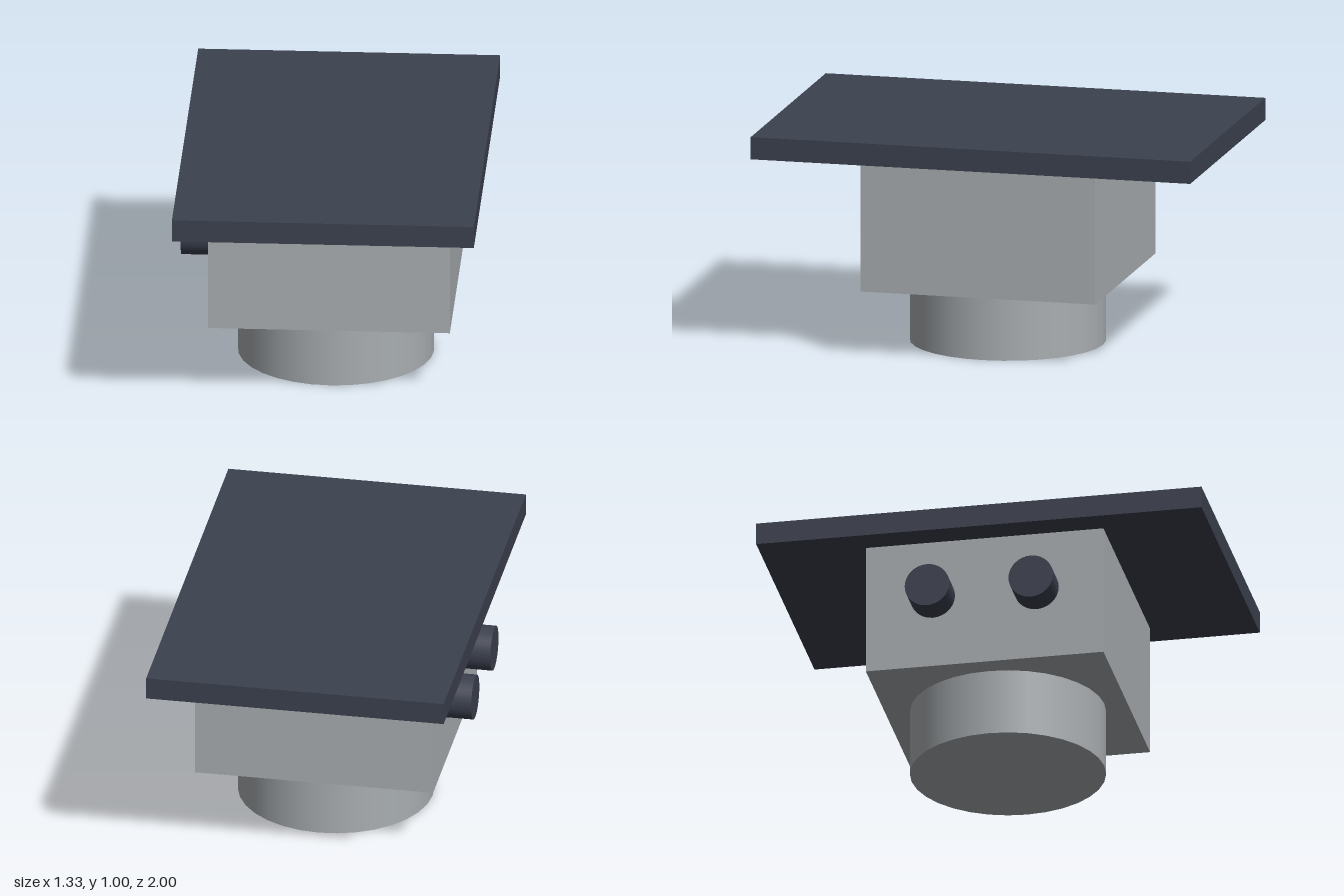
import * as THREE from 'three';

export function createModel() {
  const model = new THREE.Group();
  const paleGrey = new THREE.MeshStandardMaterial({ color: 0xa9aeb1 });
  paleGrey.name = 'paleGrey';
  const darkSlate = new THREE.MeshStandardMaterial({ color: 0x3c414f });
  darkSlate.name = 'darkSlate';

  const add = (name, geometry, material, x, y, z) => {
    const mesh = new THREE.Mesh(geometry, material);
    mesh.name = name;
    mesh.position.set(x, y, z);
    model.add(mesh);
    return mesh;
  };

  // Round foot, square housing and overhanging top plate
  add('roundBase', new THREE.CylinderGeometry(0.433, 0.433, 0.302, 32), paleGrey, 0, 0.151, 0);
  add('housing', new THREE.BoxGeometry(1.067, 0.6, 1.067), paleGrey, 0, 0.602, 0);
  add('topPlate', new THREE.BoxGeometry(1.333, 0.1, 2), darkSlate, 0, 0.952, 0);

  // Two knobs on the right side
  const knobGeometry = new THREE.CylinderGeometry(0.1, 0.1, 0.134, 32).rotateZ(Math.PI / 2);
  for (const [name, z] of [['frontKnob', 0.233], ['backKnob', -0.233]]) {
    add(name, knobGeometry, darkSlate, -0.6, 0.636, z);
  }
  return model;
}
